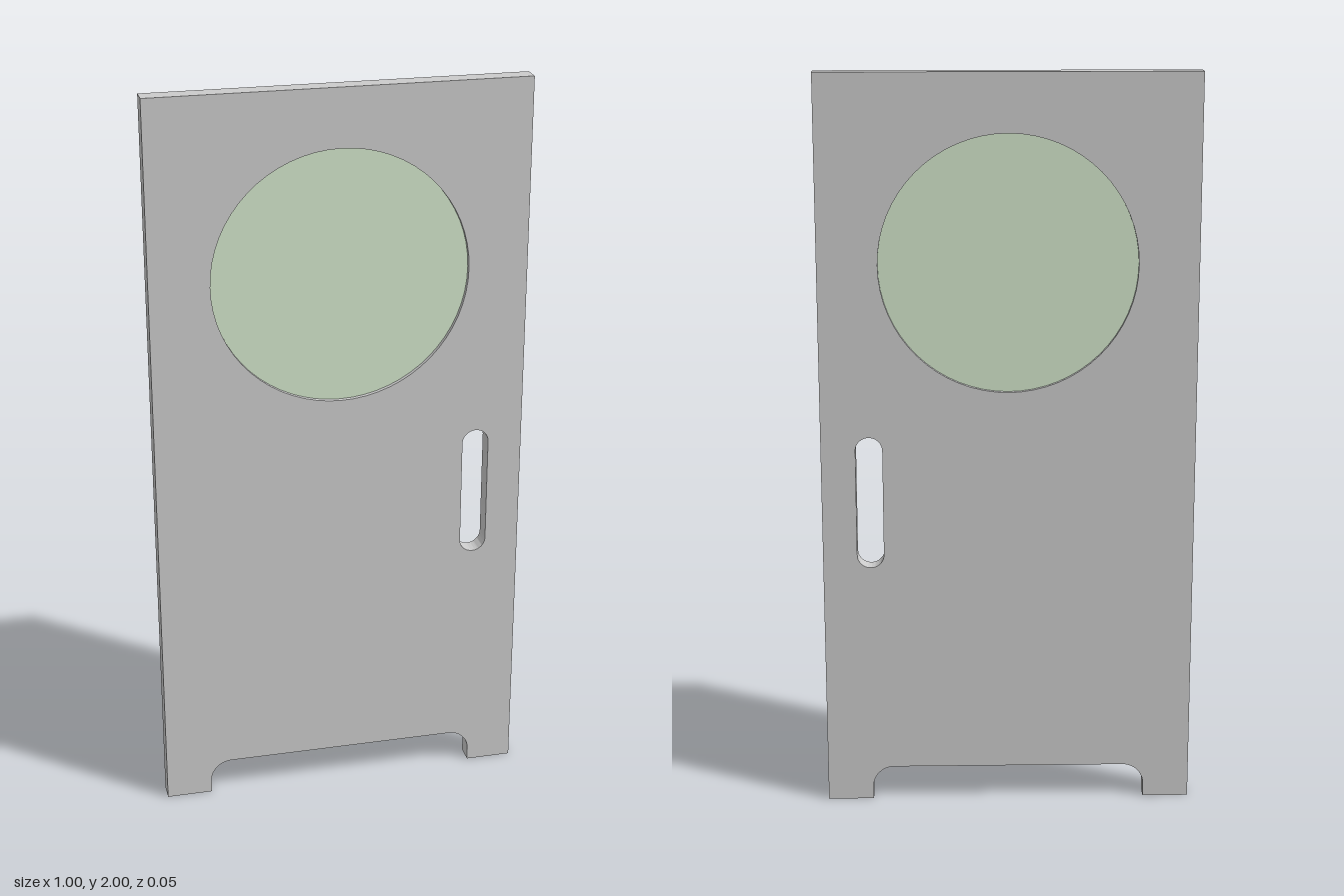
import * as THREE from 'three';
import { toCreasedNormals } from 'three/addons/utils/BufferGeometryUtils.js';

const THICK = 0.05, PANE_THICK = 0.026;
const WINDOW = { y: 1.503, r: 0.341 };
const SLOT = { x: 0.372, bottom: 0.677, top: 1.04, r: 0.036 };
const NOTCH = { halfWidth: 0.375, height: 0.095, r: 0.058 };

function doorOutline() {
  const { halfWidth: w, height: h, r } = NOTCH;
  const s = new THREE.Shape();
  s.moveTo(-0.5, 0);
  s.lineTo(-w, 0);
  // rounded notch at the foot
  s.lineTo(-w, h - r);
  s.absarc(-w + r, h - r, r, Math.PI, Math.PI / 2, true);
  s.lineTo(w - r, h);
  s.absarc(w - r, h - r, r, Math.PI / 2, 0, true);
  s.lineTo(w, 0);
  s.lineTo(0.5, 0);
  s.lineTo(0.5, 2);
  s.lineTo(-0.5, 2);
  s.closePath();
  return s;
}

function windowHole() {
  return new THREE.Path().absarc(0, WINDOW.y, WINDOW.r, 0, Math.PI * 2, true);
}

function slotHole() {
  const { x, bottom, top, r } = SLOT;
  const p = new THREE.Path();
  p.absarc(x, top - r, r, 0, Math.PI, false);
  p.absarc(x, bottom + r, r, Math.PI, Math.PI * 2, false);
  p.closePath();
  return p;
}

export function createModel() {
  const model = new THREE.Group();
  model.name = 'door';

  // Panel with window opening and pull slot
  const outline = doorOutline();
  outline.holes.push(windowHole(), slotHole());
  const panelGeometry = new THREE.ExtrudeGeometry(outline, {
    depth: THICK, bevelEnabled: false, curveSegments: 32,
  });
  panelGeometry.translate(0, 0, -THICK / 2);
  const panel = new THREE.Mesh(
    toCreasedNormals(panelGeometry, Math.PI / 6),
    new THREE.MeshStandardMaterial({ color: 0xcccccc })
  );
  panel.name = 'doorPanel';
  model.add(panel);

  // Round pane, recessed on both faces
  const paneGeometry = new THREE.CylinderGeometry(WINDOW.r, WINDOW.r, PANE_THICK, 64);
  paneGeometry.rotateX(Math.PI / 2);
  const pane = new THREE.Mesh(
    paneGeometry,
    new THREE.MeshStandardMaterial({ color: 0xd3e6cb })
  );
  pane.name = 'windowPane';
  pane.position.y = WINDOW.y;
  model.add(pane);

  return model;
}
